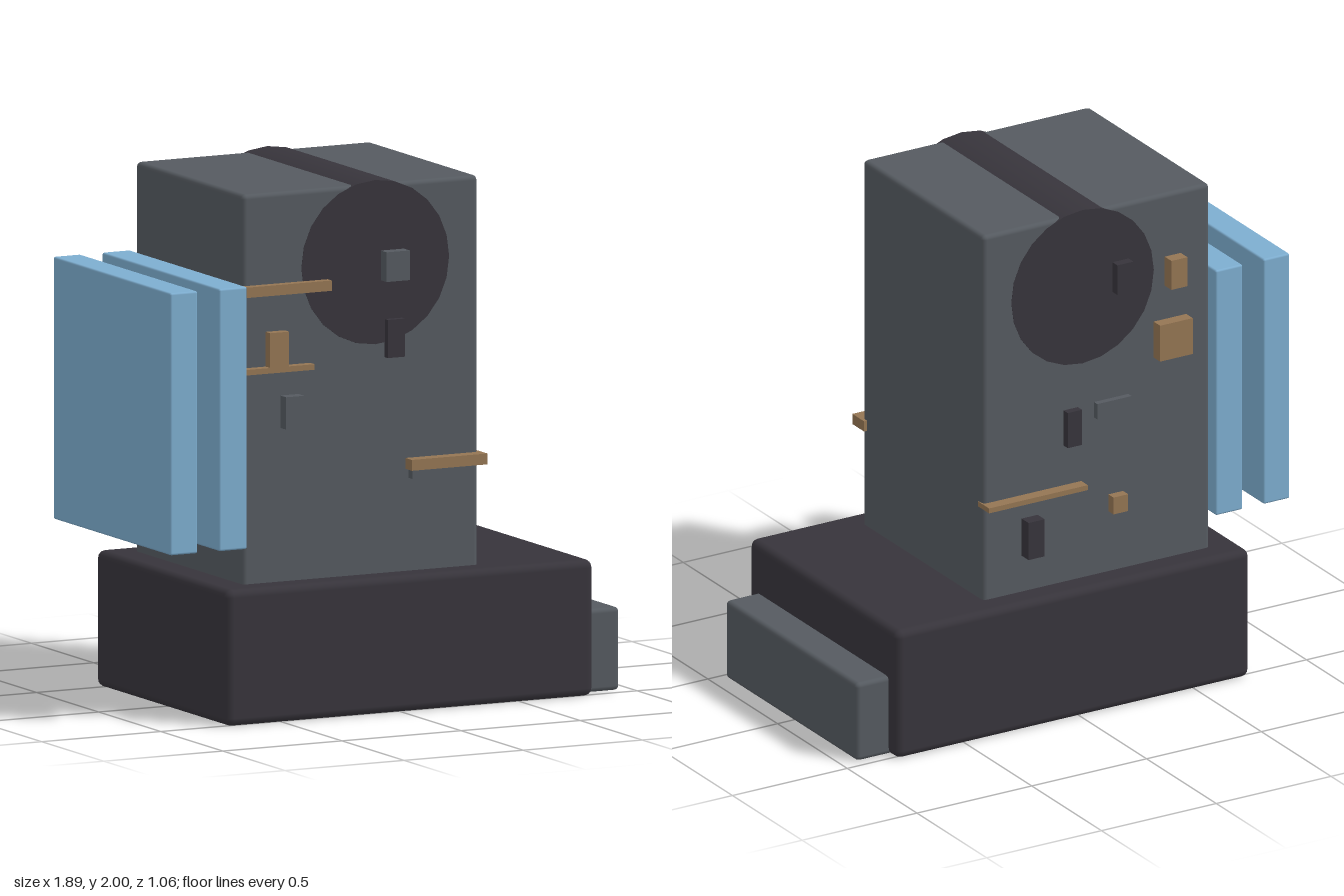
import * as THREE from 'three';
import { RoundedBoxGeometry } from 'three/addons/geometries/RoundedBoxGeometry.js';

const makeMaterial = (name, color) => {
  const m = new THREE.MeshStandardMaterial({ color });
  m.name = name;
  return m;
};

export function createModel() {
  const group = new THREE.Group();
  const grey = makeMaterial('slate grey', 0x555a60);
  const dark = makeMaterial('charcoal', 0x37343b);
  const wood = makeMaterial('bronze brown', 0x947553);
  const blue = makeMaterial('panel blue', 0x7dadcf);

  const add = (name, geometry, material) => {
    const mesh = new THREE.Mesh(geometry, material);
    mesh.name = name;
    group.add(mesh);
    return mesh;
  };

  // Box given by its extents; a radius above zero rounds the edges
  const block = (name, material, [x0, x1], [y0, y1], [z0, z1], radius = 0) => {
    const size = [x1 - x0, y1 - y0, z1 - z0];
    const geometry = radius
      ? new RoundedBoxGeometry(...size, 2, radius)
      : new THREE.BoxGeometry(...size);
    add(name, geometry, material).position.set((x0 + x1) / 2, (y0 + y1) / 2, (z0 + z1) / 2);
  };

  // Main masses
  block('base', dark, [-0.737, 0.803], [0, 0.515], [-0.532, 0.532], 0.03);
  block('tower', grey, [-0.62, 0.367], [0.45, 1.985], [-0.433, 0.433], 0.018);
  block('sideStep', grey, [0.7, 0.942], [0.003, 0.317], [-0.473, 0.473], 0.018);

  // Round drum through the top of the tower
  const drum = new THREE.CylinderGeometry(0.31, 0.31, 0.869, 24);
  drum.rotateX(Math.PI / 2);
  add('drum', drum, dark).position.set(-0.065, 1.69, 0);

  // Pair of upright side panels
  for (const [x0, x1] of [[-0.945, -0.83], [-0.74, -0.622]])
    block('sidePanel', blue, [x0, x1], [0.655, 1.645], [-0.473, 0.473], 0.008);

  // Small fittings on the front: name, colour, x range, y range, outer z
  const frontFittings = [
    ['upperLedge', wood, [-0.622, -0.265], [1.602, 1.641], 0.468],
    ['middleLedge', wood, [-0.625, -0.338], [1.31, 1.331], 0.47],
    ['ledgePost', wood, [-0.525, -0.445], [1.33, 1.462], 0.47],
    ['lowerLedge', wood, [0.062, 0.38], [0.9, 0.941], 0.485],
    ['frontBlock', grey, [-0.463, -0.387], [1.095, 1.217], 0.48],
    ['frontBlock', grey, [0.075, 0.185], [0.865, 0.915], 0.466],
    ['drumBlock', grey, [-0.042, 0.055], [1.62, 1.732], 0.482],
    ['frontBlock', dark, [-0.025, 0.048], [1.328, 1.472], 0.458],
  ];
  for (const [name, material, x, y, z] of frontFittings)
    block(name, material, x, y, [0.4, z]);

  // Small fittings on the back
  const backFittings = [
    ['drumBlock', dark, [-0.265, -0.195], [1.64, 1.76], 0.47],
    ['backBlock', wood, [-0.493, -0.423], [1.615, 1.732], 0.482],
    ['backBlock', wood, [-0.517, -0.375], [1.335, 1.48], 0.48],
    ['backBlock', dark, [-0.045, 0.017], [1.065, 1.207], 0.463],
    ['backBlock', grey, [-0.265, -0.115], [1.15, 1.212], 0.457],
    ['backLedge', wood, [-0.06, 0.37], [0.885, 0.905], 0.48],
    ['backBlock', dark, [0.13, 0.2], [0.66, 0.81], 0.483],
    ['backBlock', wood, [-0.242, -0.178], [0.757, 0.825], 0.47],
  ];
  for (const [name, material, x, y, z] of backFittings)
    block(name, material, x, y, [-z, -0.4]);

  return group;
}
